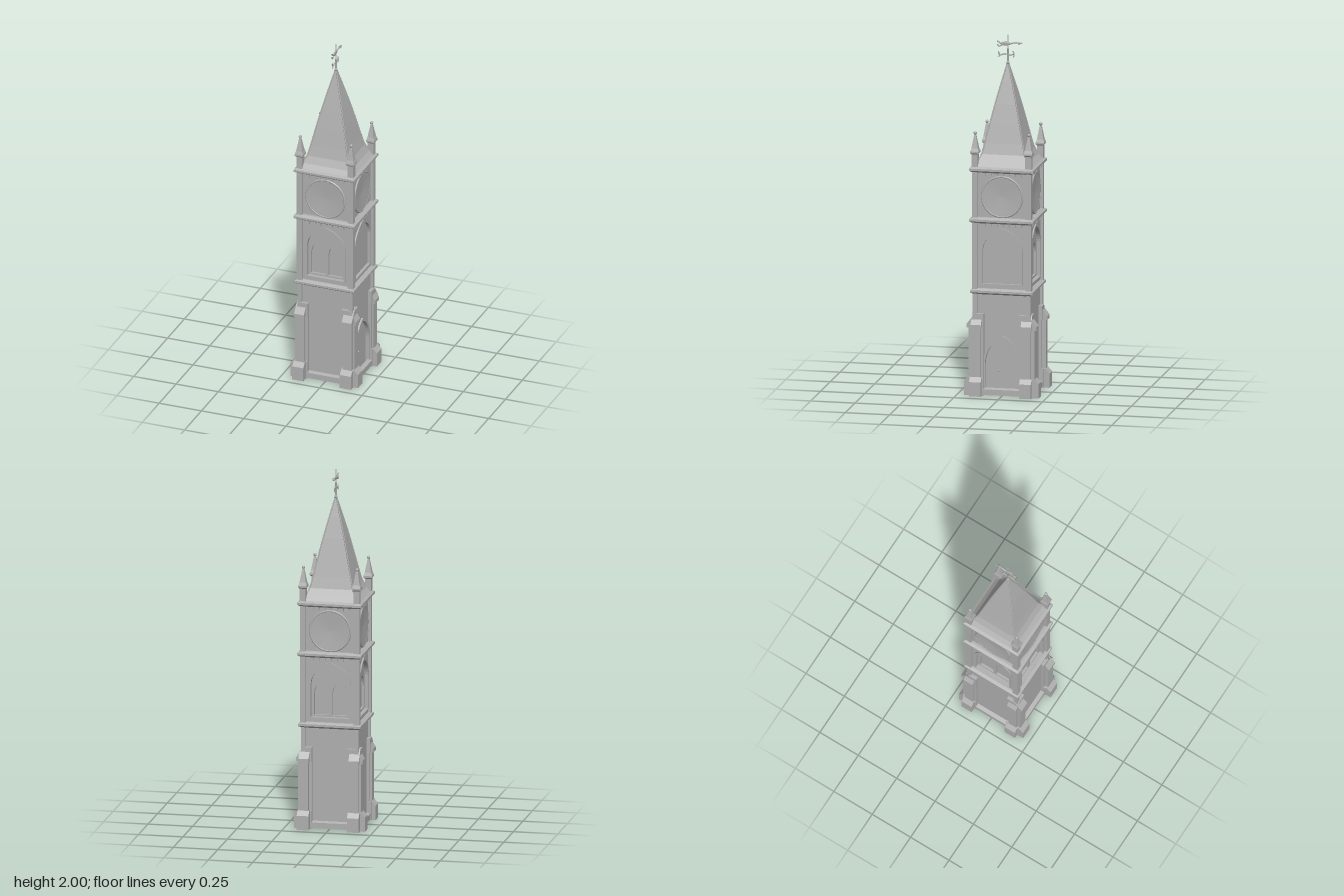
import * as THREE from 'three';

const stone = new THREE.MeshStandardMaterial({ color: 0xb0b0b0, side: THREE.DoubleSide });
stone.name = 'grey stone';

function add(parent, name, geometry, x = 0, y = 0, z = 0) {
  const mesh = new THREE.Mesh(geometry, stone);
  mesh.name = name;
  mesh.position.set(x, y, z);
  parent.add(mesh);
  return mesh;
}

// Box given by its limits
function block(parent, name, x0, x1, y0, y1, z0, z1) {
  return add(parent, name, new THREE.BoxGeometry(x1 - x0, y1 - y0, z1 - z0),
    (x0 + x1) / 2, (y0 + y1) / 2, (z0 + z1) / 2);
}

// Square-plan solid from [halfWidth, y] pairs
function squareLoft(profile) {
  const pts = profile.map(([r, y]) => new THREE.Vector2(r * Math.SQRT2, y));
  const g = new THREE.LatheGeometry(pts, 4, Math.PI / 4).toNonIndexed();
  g.computeVertexNormals();
  return g;
}

// Pointed arch outline
function arch(PathType, cx, half, y0, spring, apex) {
  const p = new PathType();
  const mid = spring + (apex - spring) * 0.72;
  p.moveTo(cx - half, y0);
  p.lineTo(cx + half, y0);
  p.lineTo(cx + half, spring);
  p.quadraticCurveTo(cx + half * 0.93, mid, cx, apex);
  p.quadraticCurveTo(cx - half * 0.93, mid, cx - half, spring);
  p.lineTo(cx - half, y0);
  return p;
}

function extrude(shape, depth) {
  return new THREE.ExtrudeGeometry(shape, { depth, bevelEnabled: false, curveSegments: 10 });
}

function rectangle(x0, x1, y0, y1) {
  return new THREE.Shape([[x0, y0], [x1, y0], [x1, y1], [x0, y1]].map(p => new THREE.Vector2(...p)));
}

// Raised moulding following an arch
function archMoulding(parent, name, half, y0, spring, apex, t, z, depth) {
  const s = arch(THREE.Shape, 0, half + t, y0, spring, apex + t * 1.3);
  s.holes.push(arch(THREE.Path, 0, half, y0 + 0.002, spring, apex));
  add(parent, name, extrude(s, depth), 0, 0, z);
}

// Stepped buttress fin with a sloping cap
function buttress(parent, right, trim) {
  const parts = [
    ['buttressPlinth', 0.066, 0.006, [[0.1, 0], [0.21, 0], [0.21, 0.08], [0.188, 0.105], [0.1, 0.105]]],
    ['buttressShaft', 0.05, 0, [[0.1, 0.1], [0.187, 0.1], [0.187, 0.385], [0.1, 0.385]]],
    ['buttressCap', 0.058, 0.004, [[0.1, 0.38], [0.197, 0.38], [0.197, 0.4], [0.15, 0.46], [0.1, 0.46]]],
  ];
  for (const [name, w, extra, pts] of parts) {
    const shape = new THREE.Shape(pts.map(([o, y]) => new THREE.Vector2(o > 0.16 ? o - trim : o, y)));
    add(parent, name, extrude(shape, w), right + extra, 0, 0).rotation.y = -Math.PI / 2;
  }
}

// One side of the tower, facing +z locally
function buildSide(k) {
  const side = new THREE.Group();
  side.name = ['frontSide', 'leftSide', 'backSide', 'rightSide'][k];
  side.rotation.y = k * Math.PI / 2;
  const hasDoor = k === 1;

  // Lower wall and door
  const lower = rectangle(-0.15, 0.15, 0.01, 0.58);
  if (hasDoor) lower.holes.push(arch(THREE.Path, 0, 0.095, 0.03, 0.18, 0.325));
  add(side, 'lowerWall', extrude(lower, 0.03), 0, 0, 0.12);
  if (hasDoor) {
    add(side, 'door', extrude(arch(THREE.Shape, 0, 0.097, 0.025, 0.18, 0.328), 0.018), 0, 0, 0.12);
    archMoulding(side, 'doorFrame', 0.095, 0.028, 0.18, 0.325, 0.012, 0.148, 0.012);
    add(side, 'doorHandle', new THREE.SphereGeometry(0.006, 8, 6), -0.02, 0.14, 0.14);
  }

  // Arched window stage
  const middle = rectangle(-0.14, 0.14, 0.59, 0.98);
  middle.holes.push(arch(THREE.Path, 0, 0.108, 0.63, 0.82, 0.93));
  add(side, 'windowWall', extrude(middle, 0.032), 0, 0, 0.12);
  const tracery = arch(THREE.Shape, 0, 0.11, 0.625, 0.82, 0.933);
  if (!hasDoor) {
    for (const cx of [-0.051, 0.051]) tracery.holes.push(arch(THREE.Path, cx, 0.042, 0.64, 0.76, 0.83));
  }
  add(side, 'windowTracery', extrude(tracery, 0.016), 0, 0, hasDoor ? 0.127 : 0.12);
  archMoulding(side, 'windowMoulding', 0.108, 0.628, 0.82, 0.93, 0.01, 0.15, 0.01);

  // Clock stage
  block(side, 'clockWall', -0.14, 0.14, 0.98, 1.27, 0.12, 0.15);
  const dish = [[0, 0.002], [0.05, 0.004], [0.1, 0.008], [0.11, 0.008]].map(p => new THREE.Vector2(...p));
  add(side, 'clockFace', new THREE.LatheGeometry(dish, 40), 0, 1.12, 0.15).rotation.x = Math.PI / 2;
  add(side, 'clockRim', new THREE.TorusGeometry(0.113, 0.006, 8, 40), 0, 1.12, 0.154);

  // Corbels below the cornices
  for (let i = -3; i <= 3; i++) {
    for (const y of [0.963, 1.25]) block(side, 'corbel', i * 0.034 - 0.008, i * 0.034 + 0.008, y - 0.012, y + 0.012, 0.145, 0.164);
  }

  // Buttresses at both ends
  const trim = k % 2 ? 0.01 : 0;
  buttress(side, 0.166, trim);
  buttress(side, -0.116, trim);
  return side;
}

// Corner pier and pinnacle
function buildCorner(sx, sz) {
  const corner = new THREE.Group();
  corner.name = 'corner';
  corner.position.set(sx * 0.151, 0, sz * 0.151);
  block(corner, 'lowerPier', -0.012, 0.012, 0, 0.59, -0.012, 0.012);
  block(corner, 'upperPier', -0.016, 0.016, 0.59, 1.27, -0.016, 0.016);
  add(corner, 'pinnacle', squareLoft([[0, 1.27], [0.017, 1.27], [0.017, 1.355], [0.024, 1.362],
    [0.024, 1.372], [0.018, 1.39], [0.005, 1.465], [0, 1.465]]));
  add(corner, 'finial', new THREE.SphereGeometry(0.009, 10, 8), 0, 1.474, 0);
  return corner;
}

// Weather vane lying in the yz plane
function buildVane() {
  const vane = new THREE.Group();
  vane.name = 'weatherVane';
  add(vane, 'rod', new THREE.CylinderGeometry(0.003, 0.006, 0.19, 8), 0, 1.905, 0);
  add(vane, 'knob', new THREE.SphereGeometry(0.009, 10, 8), 0, 1.845, 0);
  const tube = (name, pts, r) => add(vane, name, new THREE.TubeGeometry(
    new THREE.CatmullRomCurve3(pts.map(([z, y]) => new THREE.Vector3(0, y, z))), 16, r, 6));
  tube('crossArm', [[0.055, 1.9], [0.045, 1.885], [0.02, 1.893], [-0.02, 1.888], [-0.035, 1.897]], 0.0035);
  tube('scroll', [[0.055, 1.875], [0.045, 1.886], [0.055, 1.905]], 0.003);
  tube('scroll', [[-0.03, 1.875], [-0.035, 1.89], [-0.028, 1.91]], 0.003);
  tube('arrowShaft', [[0.06, 1.965], [0.03, 1.945], [0, 1.945], [-0.035, 1.957], [-0.08, 1.955]], 0.004);
  tube('tail', [[0.03, 1.945], [0.05, 1.935], [0.06, 1.945]], 0.004);
  const body = add(vane, 'vaneBody', new THREE.SphereGeometry(1, 12, 8), 0, 1.952, 0.01);
  body.scale.set(0.005, 0.012, 0.026);
  const tip = add(vane, 'arrowTip', new THREE.ConeGeometry(0.009, 0.025, 6), 0, 1.956, -0.07);
  tip.rotation.x = -Math.PI / 2;
  return vane;
}

export function createModel() {
  const model = new THREE.Group();
  model.name = 'clockTower';
  const tower = new THREE.Group();
  tower.name = 'tower';
  tower.position.x = -0.003;
  model.add(tower);

  block(tower, 'core', -0.122, 0.122, 0.005, 1.28, -0.122, 0.122);
  add(tower, 'plinth', squareLoft([[0, 0.005], [0.172, 0.005], [0.172, 0.07], [0.149, 0.095]].map(([r, y]) =>
    [r, Math.min(y, 0.03 + y * 0.1 + (y > 0.08 ? 0.004 : 0))])));

  // Cornices between the stages
  for (const [y, r] of [[0.585, 0.176], [0.985, 0.18], [1.27, 0.18]]) {
    add(tower, 'cornice', squareLoft([[0.14, y - 0.02], [r - 0.016, y - 0.016], [r, y - 0.005],
      [r, y + 0.007], [r - 0.016, y + 0.017], [0.12, y + 0.018]]));
  }

  for (let k = 0; k < 4; k++) tower.add(buildSide(k));

  // Flared spire with ribs along the hips
  const spire = [[0.166, 1.285], [0.142, 1.31], [0.122, 1.35], [0.107, 1.41], [0.085, 1.51],
    [0.06, 1.62], [0.03, 1.74], [0.005, 1.835], [0, 1.842]];
  add(tower, 'spire', squareLoft(spire));
  for (const sx of [-1, 1]) {
    for (const sz of [-1, 1]) {
      tower.add(buildCorner(sx, sz));
      const path = new THREE.CatmullRomCurve3(spire.slice(0, 8).map(([r, y]) => new THREE.Vector3(sx * r, y, sz * r)));
      add(tower, 'spireRib', new THREE.TubeGeometry(path, 24, 0.004, 6));
    }
  }

  tower.add(buildVane());
  return model;
}
